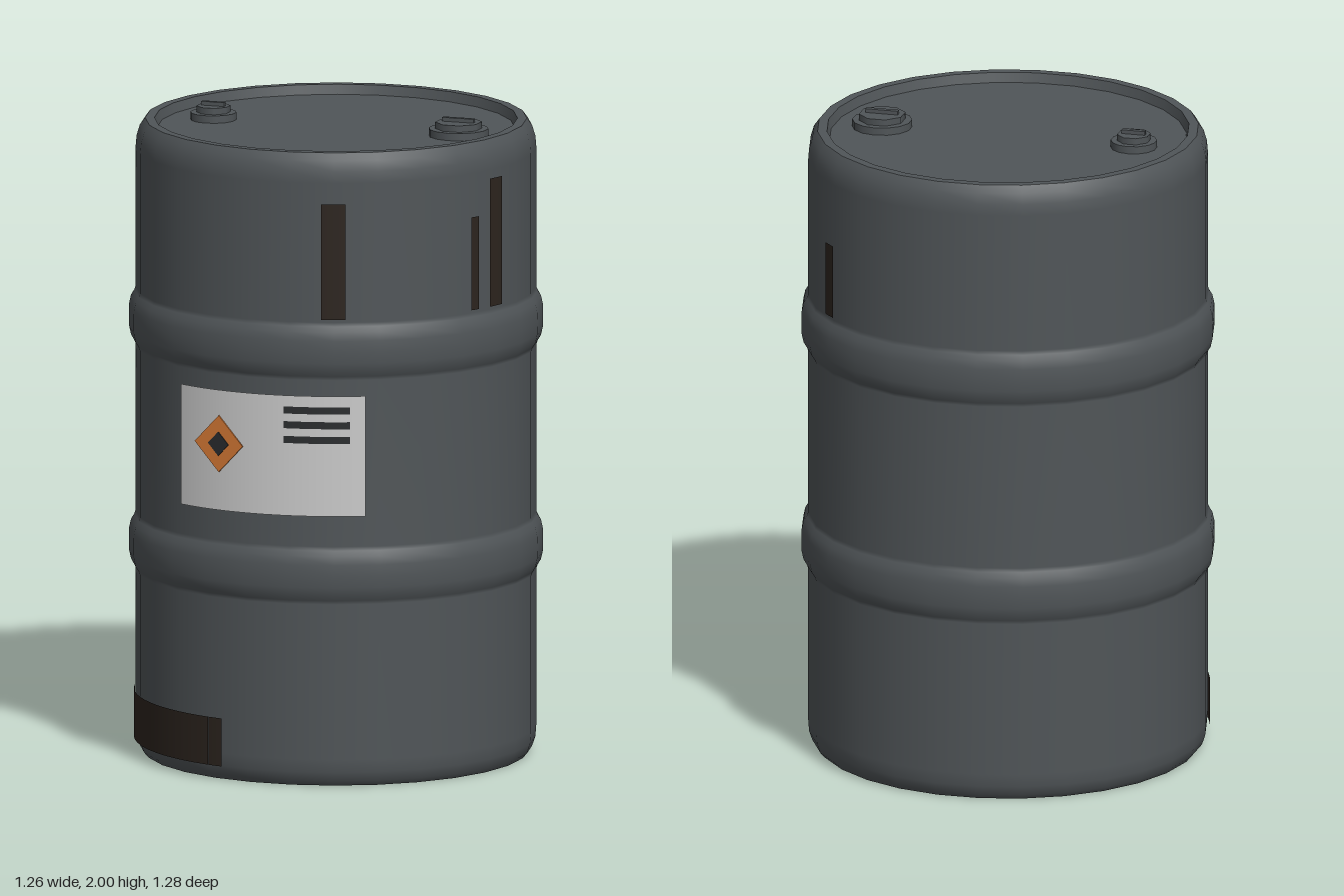
import * as THREE from 'three';

const SIDES = 28;
const START = Math.PI / SIDES; // flats face the four main directions
const rad = THREE.MathUtils.degToRad;

const mat = (color, side = THREE.FrontSide) => new THREE.MeshStandardMaterial({ color, side });
const steel = mat(0x505558);
const rust = mat(0x2c241e, THREE.DoubleSide);
const paper = mat(0xcccccc, THREE.DoubleSide);
const ink = mat(0x2a2c2e, THREE.DoubleSide);
const orange = mat(0xd87a35);

function add(parent, name, geometry, material) {
  const mesh = new THREE.Mesh(geometry, material);
  mesh.name = name;
  parent.add(mesh);
  return mesh;
}

const lathe = (pts) =>
  new THREE.LatheGeometry(pts.map(([r, y]) => new THREE.Vector2(r, y)), SIDES, START);

// Thin curved sheet around the drum; angles in degrees from the front towards +x
function patch(parent, name, r, a0, a1, y0, y1, material) {
  const segs = Math.max(2, Math.ceil((a1 - a0) / 4));
  const g = new THREE.CylinderGeometry(r, r, y1 - y0, segs, 1, true, rad(a0), rad(a1 - a0));
  add(parent, name, g, material).position.y = (y0 + y1) / 2;
}

// Rolled hoop profile, swelling out of the wall around height y
const hoop = (y) => [
  [0.615, y - 0.09], [0.619, y - 0.078], [0.629, y - 0.062], [0.635, y - 0.035], [0.636, y],
  [0.635, y + 0.035], [0.629, y + 0.062], [0.619, y + 0.078], [0.615, y + 0.09],
];

// Screw plug: wide flange, eight-sided cap and a grip bar
function plug(parent, name, x, flangeR, capR, barLength) {
  const g = new THREE.Group();
  g.name = name;
  g.position.x = x;
  add(g, 'plugFlange', new THREE.CylinderGeometry(flangeR, flangeR, 0.024, 14), steel).position.y = 1.956;
  add(g, 'plugCap', new THREE.CylinderGeometry(capR, capR, 0.024, 8, 1, false, Math.PI / 8), steel).position.y = 1.976;
  add(g, 'plugBar', new THREE.BoxGeometry(barLength, 0.014, 0.016), steel).position.y = 1.993;
  parent.add(g);
}

export function createModel() {
  const root = new THREE.Group();
  root.name = 'drum';
  const drum = new THREE.Group();
  drum.name = 'drumBody';
  drum.position.z = -0.0075;
  root.add(drum);

  // Shell with rounded ends and two hoops
  add(drum, 'shell', lathe([
    [0.588, 0], [0.602, 0.016], [0.612, 0.045], [0.615, 0.085],
    ...hoop(0.66), ...hoop(1.36),
    [0.615, 1.885], [0.612, 1.92], [0.602, 1.953], [0.586, 1.975],
  ]), steel);

  // Crisp-edged ends: rim, recess wall and sunken plate
  const top = [[0.586, 1.975], [0.557, 1.975], [0.549, 1.945], [0, 1.945]];
  const bottom = [[0, 0.03], [0.549, 0.03], [0.557, 0], [0.588, 0]];
  ['topRim', 'topRecessWall', 'lid'].forEach((n, i) => add(drum, n, lathe(top.slice(i, i + 2)), steel));
  ['base', 'bottomRecessWall', 'bottomRim'].forEach((n, i) => add(drum, n, lathe(bottom.slice(i, i + 2)), steel));

  plug(drum, 'largePlug', 0.4, 0.092, 0.072, 0.102);
  plug(drum, 'smallPlug', -0.4, 0.071, 0.052, 0.074);

  // Rust streaks under the top and a rust patch near the base
  for (const [a0, a1, y0, y1] of [
    [15.6, 22.6, 1.46, 1.82], [62, 65, 1.46, 1.75], [69.5, 75.1, 1.46, 1.86], [130.4, 135.1, 1.46, 1.69],
    [-75.4, -19.5, 0.045, 0.195], [-19.2, -14.6, 0.045, 0.195],
  ]) patch(drum, 'rustStreak', 0.62, a0, a1, y0, y1, rust);

  // Warning label with three printed bars
  patch(drum, 'label', 0.642, -27.9, 27.9, 0.85, 1.225, paper);
  for (let i = 0; i < 3; i++) {
    const y = 1.18 - i * 0.046;
    patch(drum, 'labelBar', 0.6445, 5.4, 23.7, y - 0.011, y + 0.011, ink);
  }

  // Hazard diamond, tangent to the label
  const hazard = new THREE.Group();
  hazard.name = 'hazardDiamond';
  hazard.rotation.y = rad(-14);
  const plate = (name, size, z, material) => {
    const m = add(hazard, name, new THREE.BoxGeometry(size, size, 0.004), material);
    m.position.set(0, 1.058, z);
    m.rotation.z = Math.PI / 4;
  };
  plate('diamondPlate', 0.125, 0.645, orange);
  plate('diamondCentre', 0.053, 0.648, ink);
  drum.add(hazard);

  return root;
}
